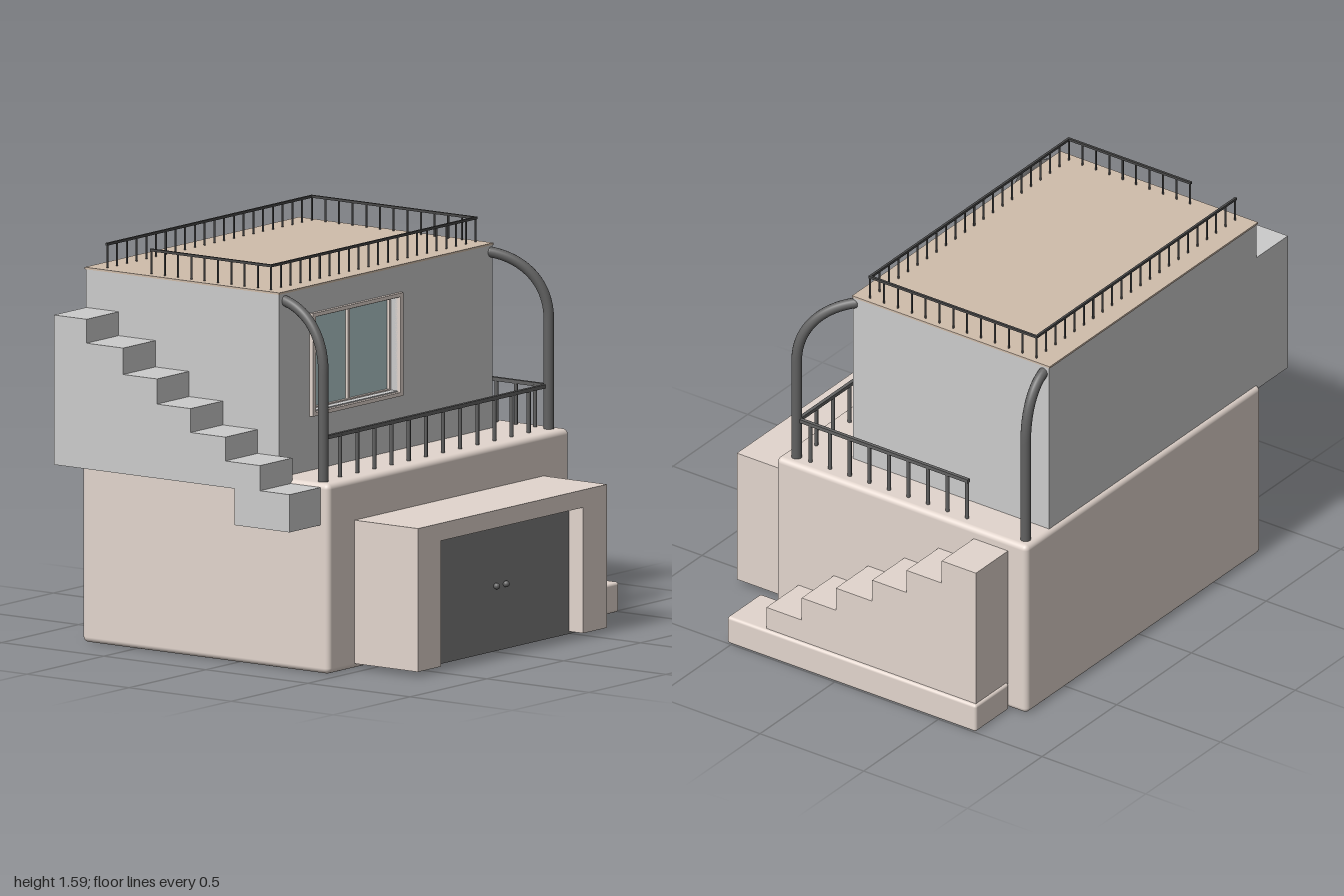
import * as THREE from 'three';
import { RoundedBoxGeometry } from 'three/addons/geometries/RoundedBoxGeometry.js';

const mat = (color) => new THREE.MeshStandardMaterial({ color });
const M = {
  grey: mat(0xcccccc), stone: mat(0xe2d5cd), roof: mat(0xd0bdab), door: mat(0x7c7c7c),
  pipe: mat(0x626262), rail: mat(0x484848), glass: mat(0xb4cccd),
};

export function createModel() {
  const model = new THREE.Group();

  const add = (name, geometry, material, parent = model) => {
    const mesh = new THREE.Mesh(geometry, material);
    mesh.name = name;
    parent.add(mesh);
    return mesh;
  };
  const group = (name) => {
    const g = new THREE.Group();
    g.name = name;
    model.add(g);
    return g;
  };
  // Box given by its limits; a radius rounds its edges
  const box = (name, [x0, x1], [y0, y1], [z0, z1], material, parent, radius = 0) => {
    const size = [x1 - x0, y1 - y0, z1 - z0];
    const geometry = radius ? new RoundedBoxGeometry(...size, 4, radius) : new THREE.BoxGeometry(...size);
    const mesh = add(name, geometry, material, parent);
    mesh.position.set((x0 + x1) / 2, (y0 + y1) / 2, (z0 + z1) / 2);
    return mesh;
  };
  const polygon = (points) => new THREE.Shape(points.map(([x, y]) => new THREE.Vector2(x, y)));
  const rect = (x0, x1, y0, y1) => polygon([[x0, y0], [x1, y0], [x1, y1], [x0, y1]]);
  const extrude = (shape, depth) => new THREE.ExtrudeGeometry(shape, { depth, bevelEnabled: false });

  // Lower storey
  box('lowerStorey', [-0.8, 0.77], [0, 0.755], [-0.76, 0.45], M.stone, model, 0.022);

  // Garage porch with its recessed door
  const garage = group('garage');
  const porch = polygon([[-0.63, 0.02], [-0.48, 0.02], [-0.48, 0.52], [0.445, 0.52],
    [0.445, 0.02], [0.6, 0.02], [0.6, 0.59], [-0.63, 0.59]]);
  add('porchFrame', extrude(porch, 0.32), M.stone, garage).position.z = 0.44;
  box('garageDoor', [-0.56, 0.54], [0.01, 0.54], [0.667, 0.69], M.door, garage);
  for (const x of [-0.037, 0.025]) {
    add('doorKnob', new THREE.SphereGeometry(0.013, 16, 12), M.pipe, garage).position.set(x, 0.27, 0.7);
  }

  // Upper storey: solid core and a front wall pierced for the window
  const upper = group('upperStorey');
  box('upperWalls', [-0.79, 0.6], [0.75, 1.482], [-0.745, 0.14], M.grey, upper);
  const wall = rect(-0.79, 0.6, 0.75, 1.482);
  wall.holes.push(rect(-0.57, -0.02, 0.99, 1.36));
  add('frontWall', extrude(wall, 0.06), M.grey, upper).position.z = 0.14;
  box('roof', [-0.793, 0.602], [1.482, 1.49], [-0.75, 0.203], M.roof, upper);

  // Window
  const windowGroup = group('window');
  const frame = rect(-0.59, 0, 0.97, 1.38);
  frame.holes.push(rect(-0.57, -0.02, 0.985, 1.365));
  add('windowFrame', extrude(frame, 0.07), M.stone, windowGroup).position.z = 0.145;
  const sash = rect(-0.57, -0.02, 0.985, 1.365);
  sash.holes.push(rect(-0.56, -0.3, 0.995, 1.355), rect(-0.288, -0.03, 0.995, 1.355));
  add('windowSash', extrude(sash, 0.02), M.stone, windowGroup).position.z = 0.15;
  box('windowGlass', [-0.565, -0.025], [0.99, 1.36], [0.145, 0.157], M.glass, windowGroup);

  // Straight railing from a to b (each [x, z]): top bar plus evenly spaced posts
  const railing = (name, a, b, y0, y1, count, radius, bar, material) => {
    const g = group(name);
    const dx = b[0] - a[0], dz = b[1] - a[1];
    const top = add('topBar', new THREE.BoxGeometry(Math.hypot(dx, dz) + bar, bar, bar), material, g);
    top.position.set((a[0] + b[0]) / 2, y1 - bar / 2, (a[1] + b[1]) / 2);
    top.rotation.y = Math.atan2(-dz, dx);
    const post = new THREE.CylinderGeometry(radius, radius, y1 - bar / 2 - y0, 8);
    for (let i = 0; i <= count; i++) {
      const t = i / count;
      add('post', post, material, g).position.set(a[0] + dx * t, (y0 + y1 - bar / 2) / 2, a[1] + dz * t);
    }
  };

  // Roof railing, open at the back of the left-hand edge for the stairs
  const roofRail = (name, a, b, n) => railing(name, a, b, 1.485, 1.59, n, 0.004, 0.01, M.rail);
  roofRail('roofRailFront', [-0.755, 0.135], [0.575, 0.135], 21);
  roofRail('roofRailBack', [-0.755, -0.667], [0.575, -0.667], 21);
  roofRail('roofRailLeft', [0.575, 0.135], [0.575, -0.667], 12);
  roofRail('roofRailRight', [-0.755, 0.135], [-0.755, -0.45], 9);

  // Terrace railing
  const terraceRail = (name, a, b, n) => railing(name, a, b, 0.75, 0.932, n, 0.008, 0.015, M.pipe);
  terraceRail('terraceRailFront', [-0.74, 0.378], [0.71, 0.378], 13);
  terraceRail('terraceRailSide', [0.717, 0.32], [0.717, -0.435], 8);
  box('terraceRailLink', [0.7095, 0.7245], [0.917, 0.932], [0.31, 0.385], M.pipe);

  // Bent pipes rising from the terrace and curving in to the upper walls
  const pipe = (name, [x, z], [ex, ez]) => {
    const path = new THREE.CurvePath();
    const v = (px, py, pz) => new THREE.Vector3(px, py, pz);
    path.add(new THREE.LineCurve3(v(x, 0.745, z), v(x, 1.19, z)));
    path.add(new THREE.CubicBezierCurve3(v(x, 1.19, z), v(x, 1.33, z),
      v(x + (ex - x) * 0.4, 1.43, z + (ez - z) * 0.4), v(ex, 1.455, ez)));
    add(name, new THREE.TubeGeometry(path, 48, 0.021, 14), M.pipe);
    // Rounded end
    add(name + 'End', new THREE.SphereGeometry(0.021, 14, 10), M.pipe).position.set(ex, 1.455, ez);
  };
  pipe('pipeFrontRight', [-0.75, 0.387], [-0.75, 0.19]);
  pipe('pipeFrontLeft', [0.717, 0.387], [0.59, 0.195]);
  pipe('pipeBackLeft', [0.717, -0.717], [0.59, -0.717]);

  // Stair flight: step fronts (z) and tops (y), the back end and the underside outline
  const stairs = (name, x0, width, fronts, tops, back, underside, material) => {
    const points = [...underside];
    fronts.forEach((z, i) => {
      const end = i + 1 < fronts.length ? fronts[i + 1] : back;
      points.push([z, tops[i]], [end, tops[i]]);
    });
    const mesh = add(name, extrude(polygon(points.map(([z, y]) => [-z, y])), width), material);
    mesh.rotation.y = Math.PI / 2;
    mesh.position.x = x0;
  };

  // Stairs from the ground to the terrace, on a low plinth
  box('stairPlinth', [0.775, 1], [0, 0.12], [-0.68, 0.52], M.stone, model, 0.012);
  stairs('groundStairs', 0.765, 0.22, [0.34, 0.17, 0.005, -0.17, -0.335, -0.505],
    [0.215, 0.315, 0.415, 0.51, 0.61, 0.71], -0.67, [[-0.67, 0.11], [0.34, 0.11]], M.stone);

  // Stairs from the terrace towards the roof, with a lower block at the foot
  stairs('roofStairs', -1, 0.212, [0.41, 0.265, 0.095, -0.075, -0.24, -0.405, -0.585],
    [0.74, 0.84, 0.935, 1.03, 1.13, 1.235, 1.33], -0.745,
    [[-0.745, 0.735], [0.14, 0.735], [0.14, 0.59], [0.41, 0.59]], M.grey);

  return model;
}
